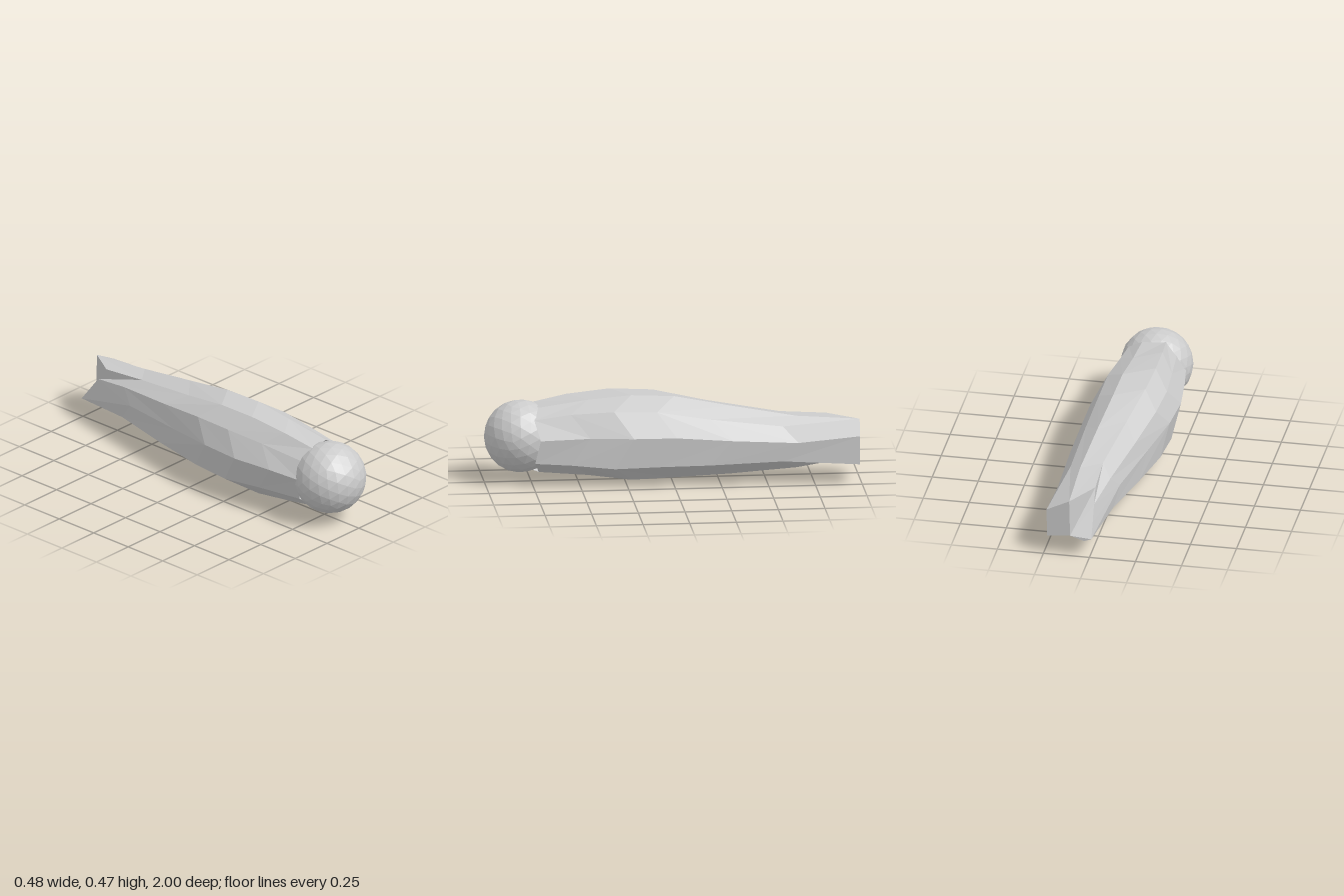
import * as THREE from 'three';

const SIDES = 10;

// Faceted outline of the limb as fractions of its width and height, counter-clockwise from its left
const OUTLINE = [
  [1, 0.58], [0.84, 0.86], [0.63, 1], [0.29, 1], [0.12, 0.83],
  [0, 0.58], [0.07, 0.23], [0.4, 0], [0.69, 0.03], [0.98, 0.23],
];

// Sections from the ball to the tip: z, x min, x max, y min, y max, stagger in z
const SECTIONS = [
  [0.73, -0.185, 0.185, 0.055, 0.413, 0.015],
  [0.5, -0.216, 0.2, 0.03, 0.45, 0.05],
  [0.27, -0.24, 0.232, 0, 0.472, 0.05],
  [0.04, -0.224, 0.233, 0.01, 0.463, 0.05],
  [-0.25, -0.163, 0.24, 0.032, 0.41, 0.06],
  [-0.62, -0.085, 0.236, 0.065, 0.352, 0.04],
];

// Notched tip, one corner per side of the outline
const TIP = [
  [0.235, 0.26, -0.99], [0.172, 0.293, -0.995], [0.11, 0.325, -1], [0, 0.335, -0.83], [-0.003, 0.26, -0.887],
  [-0.007, 0.185, -0.943], [-0.01, 0.11, -1], [0.03, 0.095, -1], [0.105, 0.12, -1], [0.232, 0.105, -0.99],
];

function limbGeometry() {
  const rings = SECTIONS.map(([z, x0, x1, y0, y1, stagger]) =>
    OUTLINE.map(([u, v], i) => [
      x0 + u * (x1 - x0),
      y0 + v * (y1 - y0),
      z + (i % 2 ? stagger : -stagger),
    ]));
  rings.push(TIP);

  const positions = rings.flat(2);
  const index = [];
  // Walls, with diagonals alternating to give irregular facets
  for (let r = 0; r < rings.length - 1; r++) {
    for (let i = 0; i < SIDES; i++) {
      const j = (i + 1) % SIDES;
      const a = r * SIDES + i, b = r * SIDES + j;
      const c = a + SIDES, d = b + SIDES;
      if (i % 2) index.push(a, c, d, a, d, b);
      else index.push(a, c, b, b, c, d);
    }
  }
  // Tip cap fans out from the inner corner of the notch
  const tip = (rings.length - 1) * SIDES;
  const hub = 8;
  for (let k = 1; k < SIDES - 1; k++) {
    index.push(tip + hub, tip + (hub + k + 1) % SIDES, tip + (hub + k) % SIDES);
  }

  const geometry = new THREE.BufferGeometry();
  geometry.setAttribute('position', new THREE.Float32BufferAttribute(positions, 3));
  geometry.setIndex(index);
  geometry.computeVertexNormals();
  return geometry;
}

export function createModel() {
  const group = new THREE.Group();
  group.name = 'limbSegment';
  const material = new THREE.MeshStandardMaterial({
    color: 0xcccccc, flatShading: true, side: THREE.DoubleSide,
  });

  // Tapering limb, open where it meets the ball
  const limb = new THREE.Mesh(limbGeometry(), material);
  limb.name = 'limb';
  group.add(limb);

  // Ball joint seated in the open end
  const ball = new THREE.Mesh(new THREE.IcosahedronGeometry(0.195, 3), material);
  ball.name = 'ballJoint';
  ball.position.set(-0.015, 0.245, 0.805);
  ball.rotation.set(0.4, 0.3, 0.2);
  group.add(ball);

  return group;
}
